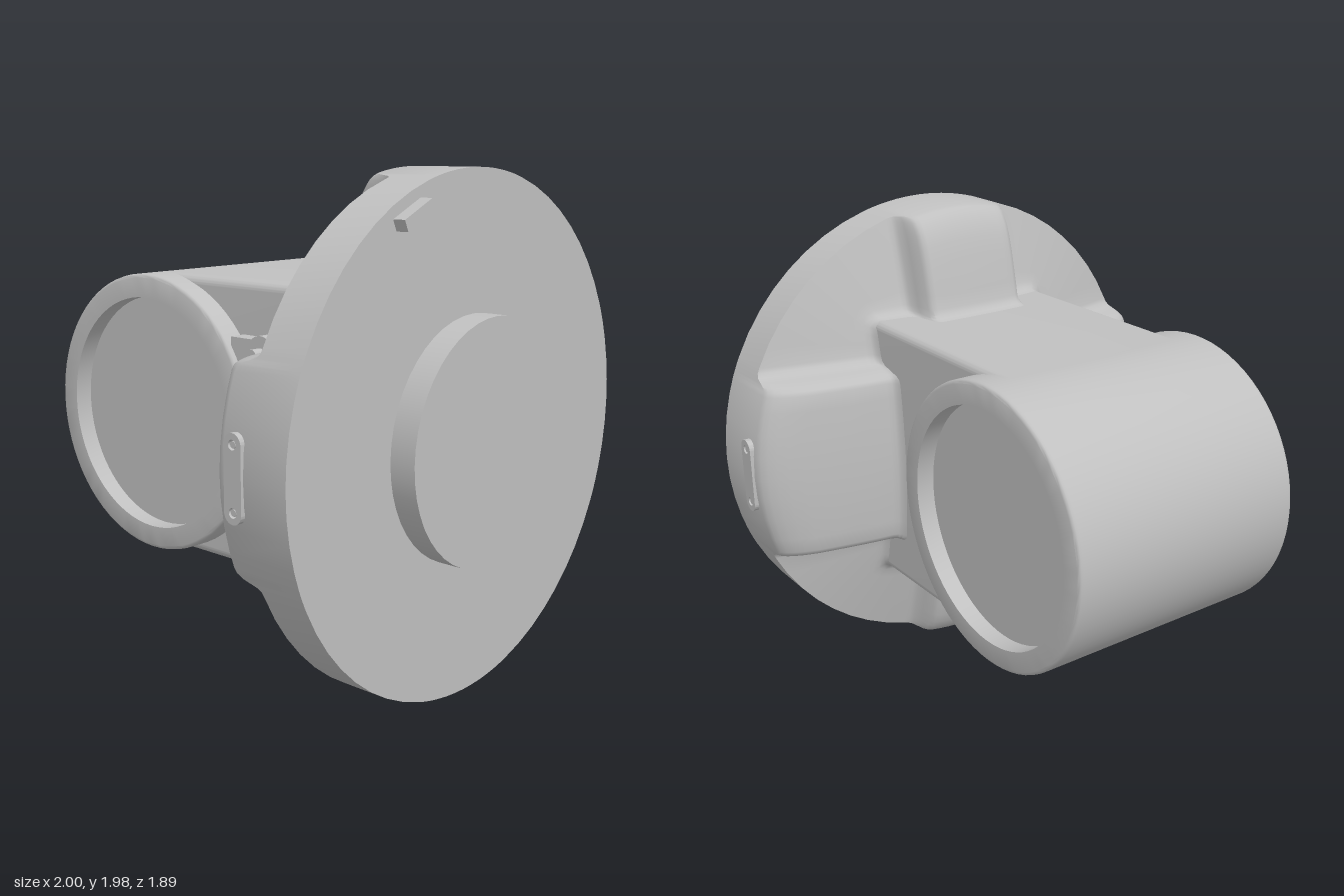
import * as THREE from 'three';
import { toCreasedNormals } from 'three/addons/utils/BufferGeometryUtils.js';

const CY = 0.99, R = 0.99, FRONT = 0.84;   // flange centre height, radius, front face
const NX = 0.42, NY = 0.565;               // neck half width and half height

// Rear height of the raised ribs at radius r
const DOME = [[0.4, 0.37], [0.65, 0.41], [0.85, 0.455], [0.92, 0.482], [0.955, 0.505], [0.978, 0.525], [0.99, 0.555]];
function domeZ(r) {
  let i = 1;
  while (i < DOME.length - 1 && r > DOME[i][0]) i++;
  const [r0, z0] = DOME[i - 1], [r1, z1] = DOME[i];
  return z0 + (z1 - z0) * (Math.min(r, r1) - r0) / (r1 - r0);
}
// Rear height of the sunken pockets
const coneZ = r => 0.65 - (R - r) * 0.28;

// Columns of one quadrant, from neck outline to rim; blend 1 = rib, 0 = pocket
function quadrantColumns() {
  const wall = [[-0.03, 1], [-0.012, 0.96], [0, 0.82], [0.012, 0.45], [0.022, 0.16], [0.036, 0.03], [0.055, 0]];
  const rib = half => [0, 0.25, 0.5, 0.75].map(f => [f * half, 1]).concat(wall.map(([o, b]) => [half + o, b]));
  const rim = o => Math.sqrt(R * R - o * o);
  const side = rib(0.37).map(([o, b]) => ({ a: [NX, o], e: [rim(o), o], b }));
  const top = rib(0.225).map(([o, b]) => ({ a: [o, NY], e: [o, rim(o)], b })).reverse();
  const a0 = Math.asin(0.425 / R), a1 = Math.acos(0.28 / R);
  const starts = [[NX, 0.46], [NX, 0.5], [NX, 0.53], [NX - 0.01, NY - 0.01], [0.385, NY], [0.35, NY], [0.31, NY]];
  const pocket = starts.map((a, i) => {
    const t = a0 + (a1 - a0) * (i + 1) / (starts.length + 1);
    return { a, e: [R * Math.cos(t), R * Math.sin(t)], b: 0 };
  });
  return [...side, ...pocket, ...top];
}

// Rear shell of the flange with four ribs, four pockets and a fillet at the neck
function flangeShell() {
  const q = quadrantColumns();
  const flip = (list, sx, sy) => list.map(c => ({ a: [c.a[0] * sx, c.a[1] * sy], e: [c.e[0] * sx, c.e[1] * sy], b: c.b }));
  const rev = [...q].reverse();
  const cols = [q, flip(rev, -1, 1), flip(q, -1, -1), flip(rev, 1, -1)].flatMap(l => l.slice(0, -1));
  const F = 0.04, near = [0, 0.007, 0.018, F], far = [0.15, 0.32, 0.5, 0.68, 0.8, 0.88, 0.94, 0.98, 1];
  const rows = near.length + far.length + 1, pos = [], idx = [];
  for (const { a, e, b } of cols) {
    const L = Math.hypot(e[0] - a[0], e[1] - a[1]);
    for (const s of [...near, ...far.map(f => F + (L - F) * f)]) {
      const x = a[0] + (e[0] - a[0]) * s / L, y = a[1] + (e[1] - a[1]) * s / L, r = Math.hypot(x, y);
      const fillet = s < F ? F - Math.sqrt(F * F - (F - s) ** 2) : 0;
      pos.push(x, y, coneZ(r) + (domeZ(r) - coneZ(r)) * b - fillet);
    }
    pos.push(e[0], e[1], FRONT);
  }
  for (let i = 0; i < cols.length; i++) {
    for (let j = 0; j < rows - 1; j++) {
      const p = i * rows + j, n = ((i + 1) % cols.length) * rows + j;
      idx.push(p, n, p + 1, n, n + 1, p + 1);
    }
  }
  const g = new THREE.BufferGeometry();
  g.setAttribute('position', new THREE.Float32BufferAttribute(pos, 3));
  g.setIndex(idx);
  return { shell: toCreasedNormals(g, 0.75), rim: cols.map(c => new THREE.Vector2(...c.e)) };
}

function roundedRect(w, h, r) {
  const s = new THREE.Shape();
  s.absarc(w - r, h - r, r, 0, Math.PI / 2);
  s.absarc(r - w, h - r, r, Math.PI / 2, Math.PI);
  s.absarc(r - w, r - h, r, Math.PI, Math.PI * 1.5);
  s.absarc(w - r, r - h, r, Math.PI * 1.5, Math.PI * 2);
  return s;
}

export function createModel() {
  const model = new THREE.Group();
  model.name = 'flangedHousing';
  const metal = new THREE.MeshStandardMaterial({ color: 0xc0c0c0 });
  metal.name = 'castGrey';
  const add = (name, geometry, x = 0, y = CY, z = 0) => {
    const m = new THREE.Mesh(geometry, metal);
    m.name = name;
    m.position.set(x, y, z);
    model.add(m);
    return m;
  };

  // Flange
  const { shell, rim } = flangeShell();
  add('flangeShell', shell);
  add('flangeFace', new THREE.ShapeGeometry(new THREE.Shape(rim)), 0, CY, FRONT);
  add('frontHub', new THREE.CylinderGeometry(0.468, 0.468, 0.145, 48).rotateX(Math.PI / 2), 0, CY, 0.8725);
  add('locatingKey', new THREE.BoxGeometry(0.16, 0.045, 0.07), -0.39, 1.828, 0.855).rotation.z = 0.43;

  // Neck joining flange and barrel
  const neck = new THREE.ExtrudeGeometry(roundedRect(NX, NY, 0.035), { depth: 1.08, bevelEnabled: false, curveSegments: 6 });
  add('neck', toCreasedNormals(neck, 0.6), 0, CY, -0.38);

  // Cross barrel with a shallow recess at each end
  const half = [[0, 0.44], [0.472, 0.44], [0.472, 0.515], [0.55, 0.515], [0.558, 0.512], [0.563, 0.506], [0.565, 0.497]];
  const profile = [...half.map(([r, h]) => [r, -h]), ...[...half].reverse()].map(p => new THREE.Vector2(...p));
  const barrel = new THREE.LatheGeometry(profile, 72).rotateZ(Math.PI / 2);
  add('barrel', toCreasedNormals(barrel, 0.6), 0, CY, -0.38);

  // Side plates with two screws each
  for (const s of [1, -1]) {
    const outline = roundedRect(0.04, 0.155, 0.0399);
    for (const y of [-0.115, 0.115]) outline.holes.push(new THREE.Path().absarc(0, y, 0.018, 0, Math.PI * 2, true));
    const plate = new THREE.ExtrudeGeometry(outline, { depth: 0.04, bevelEnabled: false, curveSegments: 10 });
    add('sidePlate', toCreasedNormals(plate, 0.6), s * 0.96, CY, 0.61).rotation.y = s * Math.PI / 2;
    for (const y of [-0.115, 0.115]) {
      add('plateScrew', new THREE.CylinderGeometry(0.012, 0.012, 0.04, 16).rotateZ(Math.PI / 2), s * 0.976, CY + y, 0.61);
    }
  }

  // Bosses with pins on the right side of the neck
  for (const s of [1, -1]) {
    const y = CY + s * 0.31;
    add('boss', new THREE.CylinderGeometry(0.07, 0.07, 0.105, 32).rotateZ(Math.PI / 2), -0.4525, y, 0.25);
    add('bossWeb', new THREE.BoxGeometry(0.07, 0.1, 0.17), -0.455, y, 0.165);
    add('bossPin', new THREE.CylinderGeometry(0.025, 0.025, 0.07, 20).rotateZ(Math.PI / 2), -0.517, y, 0.25);
  }
  return model;
}
